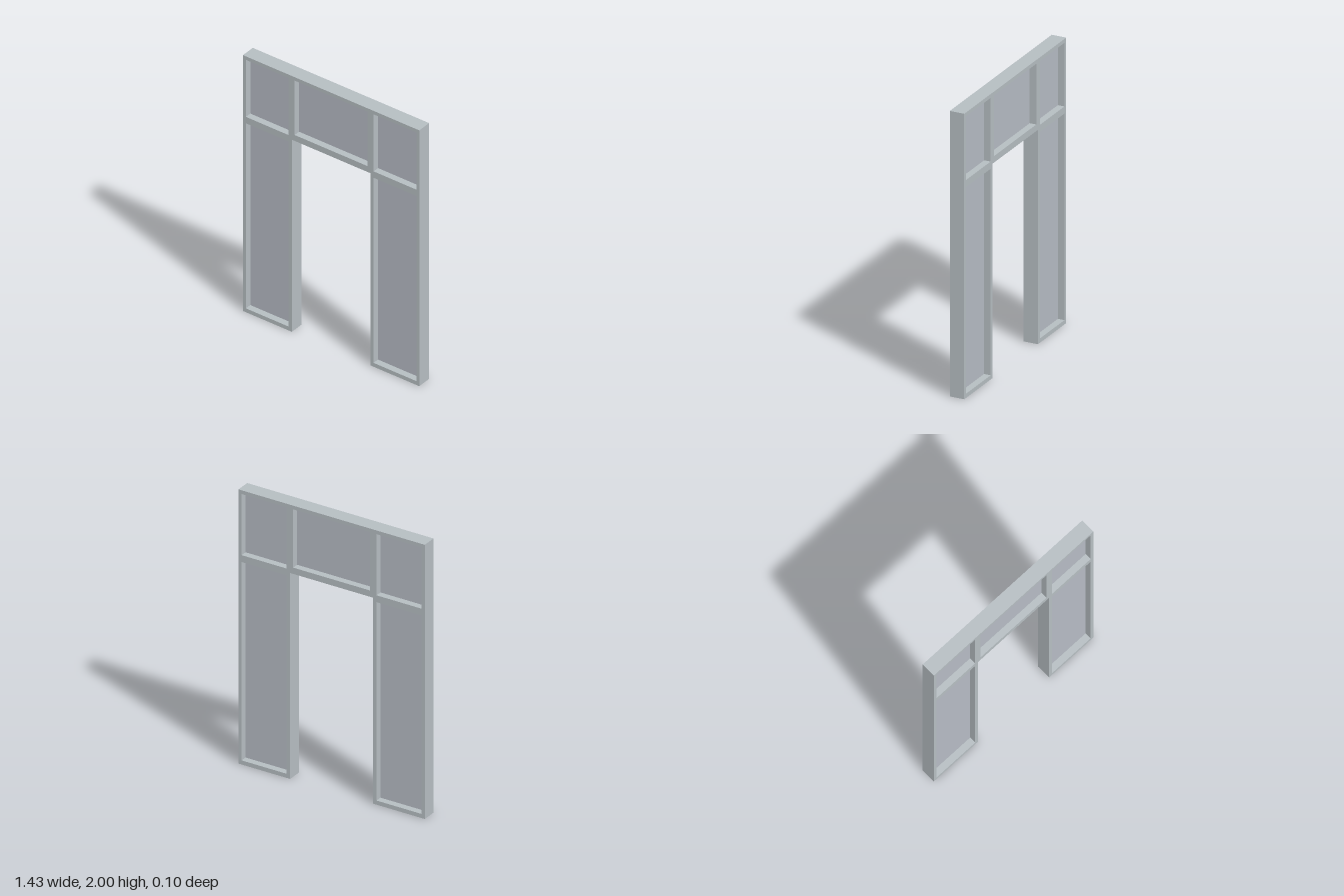
import * as THREE from 'three';

const W = 0.714, H = 2, DEPTH = 0.105;      // half width, height, thickness
const OPEN_W = 0.318, OPEN_H = 1.502;       // doorway half width and height
const PANE_T = 0.01;

// Recessed panels as [name, x0, x1, y0, y1]
const panels = [['headPanel', -0.295, 0.295, 1.548, 1.973]];
for (const [side, s] of [['left', 1], ['right', -1]]) {
  const x0 = Math.min(s * 0.344, s * 0.69), x1 = Math.max(s * 0.344, s * 0.69);
  panels.push([side + 'UpperPanel', x0, x1, 1.527, 1.973]);
  panels.push([side + 'LowerPanel', x0, x1, 0.03, 1.477]);
}

function rectPath(x0, x1, y0, y1) {
  return new THREE.Path([
    new THREE.Vector2(x0, y0), new THREE.Vector2(x0, y1),
    new THREE.Vector2(x1, y1), new THREE.Vector2(x1, y0),
  ]);
}

export function createModel() {
  const group = new THREE.Group();
  group.name = 'panelledDoorway';
  const frameMat = new THREE.MeshStandardMaterial({ color: 0xb5bdc1 });
  frameMat.name = 'frame grey';
  const panelMat = new THREE.MeshStandardMaterial({ color: 0xb5bac3 });
  panelMat.name = 'panel blue grey';

  // Frame: doorway outline with a hole for every panel
  const outline = new THREE.Shape([
    [-W, 0], [-OPEN_W, 0], [-OPEN_W, OPEN_H], [OPEN_W, OPEN_H],
    [OPEN_W, 0], [W, 0], [W, H], [-W, H],
  ].map(([x, y]) => new THREE.Vector2(x, y)));
  outline.holes = panels.map(([, ...r]) => rectPath(...r));
  const frameGeo = new THREE.ExtrudeGeometry(outline, { depth: DEPTH, bevelEnabled: false });
  frameGeo.translate(0, 0, -DEPTH / 2);
  const frame = new THREE.Mesh(frameGeo, frameMat);
  frame.name = 'frame';
  group.add(frame);

  // Thin panels set midway in the frame
  for (const [name, x0, x1, y0, y1] of panels) {
    const panel = new THREE.Mesh(new THREE.BoxGeometry(x1 - x0, y1 - y0, PANE_T), panelMat);
    panel.position.set((x0 + x1) / 2, (y0 + y1) / 2, 0);
    panel.name = name;
    group.add(panel);
  }
  return group;
}
